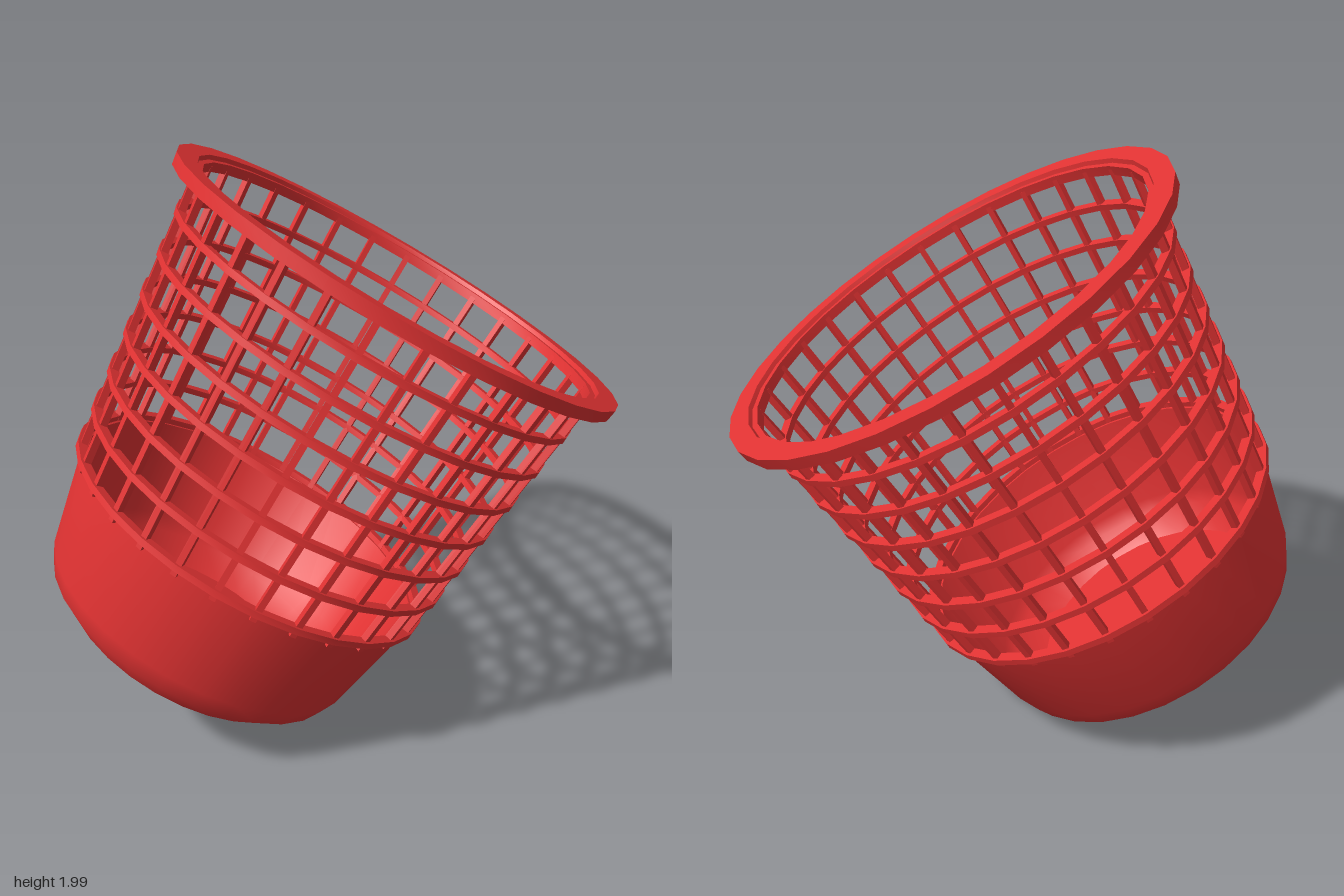
import * as THREE from 'three';
import { toCreasedNormals } from 'three/addons/utils/BufferGeometryUtils.js';

const SIDES = 30;
const RINGS = 7;

// Revolve a [radius, height] profile, keeping sharp corners sharp
function revolve(points, crease = 0.6) {
  const profile = points.map(([r, y]) => new THREE.Vector2(r, y));
  return toCreasedNormals(new THREE.LatheGeometry(profile, SIDES, Math.PI / 2), crease);
}

export function createModel() {
  const model = new THREE.Group();
  model.name = 'wasteBasket';
  const red = new THREE.MeshStandardMaterial({ color: 0xe03232 });

  const basket = new THREE.Group();
  basket.name = 'tiltedBasket';
  const add = (name, geometry, parent = basket) => {
    const mesh = new THREE.Mesh(geometry, red);
    mesh.name = name;
    parent.add(mesh);
    return mesh;
  };

  // Solid lower cup with a chamfered foot and a thin wall
  add('solidBase', revolve([
    [0, 0], [0.475, 0], [0.57, 0.08], [0.597, 0.145], [0.665, 0.51],
    [0.645, 0.51], [0.577, 0.15], [0.552, 0.095], [0.465, 0.02], [0, 0.02],
  ]));

  // Horizontal hoops of the lattice, widening towards the rim
  for (let i = 0; i < RINGS; i++) {
    const y = 0.52 + i * 0.143;
    const outer = 0.688 + i * 0.0112;
    const inner = outer - 0.034;
    const h = 0.011;
    add('latticeHoop', revolve([
      [inner, y - h], [outer, y - h], [outer, y + h], [inner, y + h], [inner, y - h],
    ]));
  }

  // Upright bars leaning outwards
  const low = new THREE.Vector2(0.662, 0.49);
  const high = new THREE.Vector2(0.748, 1.515);
  const bar = new THREE.BoxGeometry(0.024, low.distanceTo(high), 0.022);
  bar.rotateZ(-Math.atan2(high.x - low.x, high.y - low.y));
  bar.translate((low.x + high.x) / 2, (low.y + high.y) / 2, 0);
  for (let i = 0; i < SIDES; i++) {
    add('latticeBar', bar).rotation.y = (i / SIDES) * Math.PI * 2;
  }

  // Flanged rim with a small inner step
  add('rim', revolve([
    [0.737, 1.495], [0.772, 1.495], [0.775, 1.505], [0.83, 1.503], [0.835, 1.545],
    [0.762, 1.545], [0.757, 1.53], [0.737, 1.53], [0.737, 1.495],
  ]));

  // Tip the basket over onto the edge of its foot
  basket.rotation.z = -Math.PI / 6;
  basket.position.set(-0.523, 0.24, 0);
  model.add(basket);
  return model;
}
